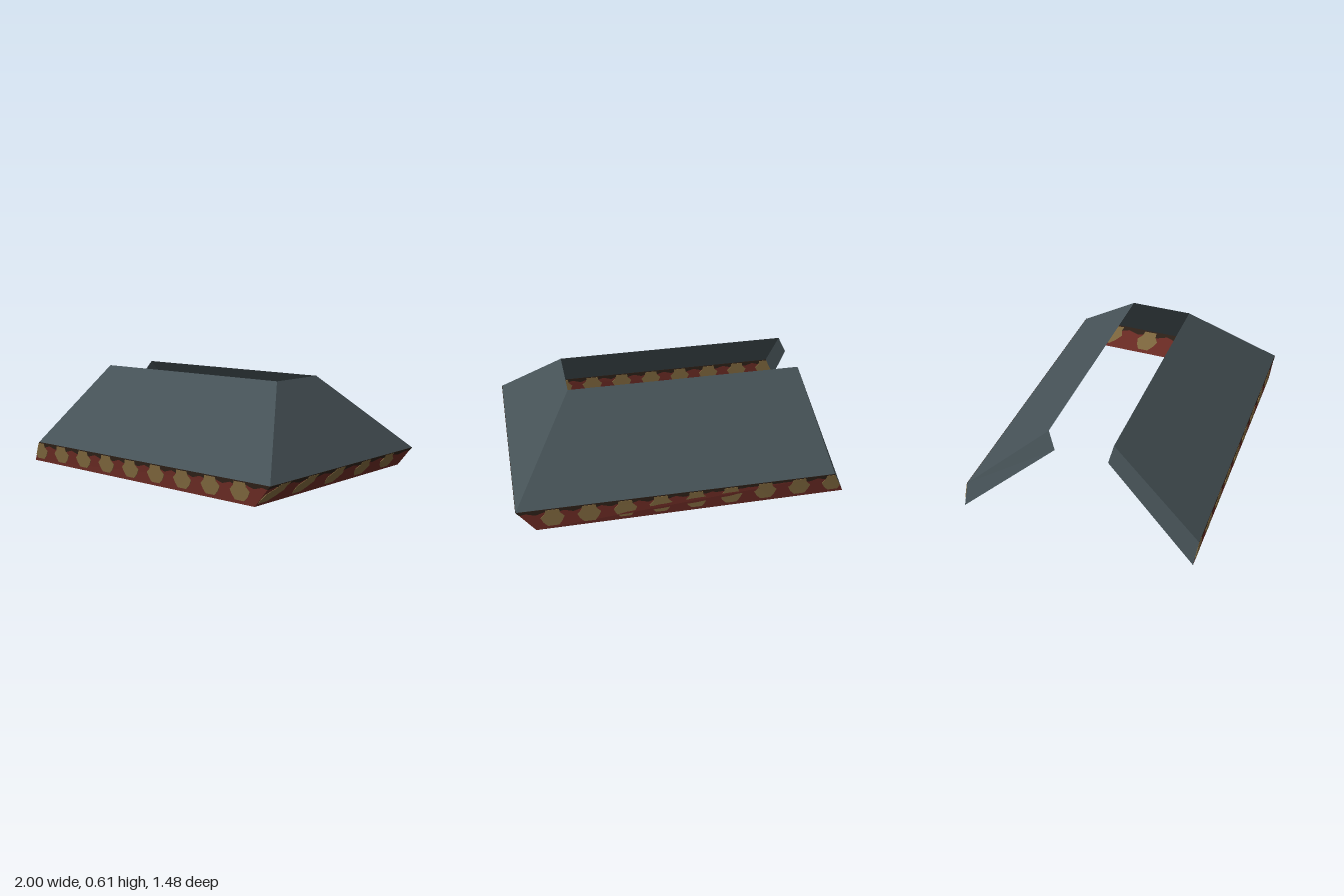
import * as THREE from 'three';

const lerp = THREE.MathUtils.lerp;
const clamp = THREE.MathUtils.clamp;
const H = 0.13; // height of the eave band

function material(name, color) {
  const m = new THREE.MeshStandardMaterial({ color, side: THREE.DoubleSide });
  m.name = name;
  return m;
}

// Flat four-cornered sheet, corners counter-clockwise from outside
function sheet(name, mat, a, b, c, d) {
  const g = new THREE.BufferGeometry();
  g.setAttribute('position', new THREE.Float32BufferAttribute([a, b, c, a, c, d].flat(), 3));
  g.computeVertexNormals();
  const mesh = new THREE.Mesh(g, mat);
  mesh.name = name;
  return mesh;
}

// Thin plate drawn as (along, height) points, centred in a leaning band and seen from both sides
function plate(name, mat, points, depth, place) {
  const shape = new THREE.Shape(points.map(([s, y]) => new THREE.Vector2(s, y)));
  const g = new THREE.ExtrudeGeometry(shape, { depth, bevelEnabled: false });
  const p = g.attributes.position;
  for (let i = 0; i < p.count; i++) {
    p.setXYZ(i, ...place(p.getX(i), p.getY(i), p.getZ(i) - depth / 2));
  }
  g.computeVertexNormals();
  const mesh = new THREE.Mesh(g, mat);
  mesh.name = name;
  return mesh;
}

const spotOutline = [
  [-0.035, 0.02], [0.03, 0.02], [0.055, 0.045], [0.07, 0.075], [0.045, 0.1],
  [0.04, 0.124], [-0.04, 0.124], [-0.045, 0.1], [-0.07, 0.075], [-0.055, 0.045],
];

// Spots and ragged shadow-coloured border of one band
function decorate(group, name, centres, from, to, width, lean, mats, place) {
  centres.forEach((c) => {
    const pts = spotOutline.map(([s, y]) => [c + s * width + lean(c) * (y - 0.07), y]);
    group.add(plate(name + 'Spot', mats.tan, pts, 0.007, place));
  });
  const border = [[from, H], [from, 0.108]];
  const n = centres.length * 4;
  for (let i = 1; i < n; i++) {
    border.push([lerp(from, to, i / n), i % 2 ? 0.114 : 0.098]);
  }
  border.push([to, 0.108], [to, H]);
  group.add(plate(name + 'Border', mats.brown, border, 0.004, place));
}

export function createModel() {
  const model = new THREE.Group();
  model.name = 'openRoof';
  const slate = material('slate', 0x465257);
  const red = material('brick red', 0x6b2b24);
  const mats = { tan: material('ochre', 0x80683e), brown: material('dark brown', 0x2e2118) };

  // Corners: eave, ridge, band foot and inner ridge tip
  const F = {
    eaveL: [-0.94, H, 0.735], eaveR: [1, H, 0.735],
    ridgeL: [-0.835, 0.605, 0.19], ridgeR: [0.615, 0.605, 0.19],
    footL: [-1, 0, 0.722], footR: [0.89, 0, 0.728], tip: [-0.88, 0.51, 0.17],
  };
  const B = {
    eaveL: [-0.94, H, -0.725], eaveR: [1, H, -0.725],
    ridgeL: [-0.835, 0.605, -0.205], ridgeR: [0.615, 0.605, -0.205],
    footL: [-1, 0, -0.725], footR: [0.89, 0, -0.743], tip: [-0.88, 0.51, -0.155],
  };

  // Three roof slopes and the two end boards
  model.add(
    sheet('frontSlope', slate, F.eaveL, F.eaveR, F.ridgeR, F.ridgeL),
    sheet('backSlope', slate, B.eaveR, B.eaveL, B.ridgeL, B.ridgeR),
    sheet('sideSlope', slate, F.eaveR, B.eaveR, B.ridgeR, F.ridgeR),
    sheet('frontEndBoard', slate, F.footL, F.eaveL, F.ridgeL, F.tip),
    sheet('backEndBoard', slate, B.eaveL, B.footL, B.tip, B.ridgeL),
  );

  // Bands under the eaves
  model.add(
    sheet('frontBand', red, F.footL, F.footR, F.eaveR, F.eaveL),
    sheet('backBand', red, B.footR, B.footL, B.eaveL, B.eaveR),
    sheet('sideBand', red, F.footR, B.footR, B.eaveR, F.eaveR),
  );

  // Long bands: nine upright spots, trimmed to the slanted ends
  const longCentres = Array.from({ length: 9 }, (_, i) => -0.93 + i * 0.215);
  for (const [name, S] of [['front', F], ['back', B]]) {
    const place = (x, y, w) => {
      const t = y / H;
      const lo = lerp(-1, -0.94, t), hi = lerp(0.89, 1, t);
      const px = clamp(x, lo, hi);
      const u = (px - lo) / (hi - lo);
      return [px, y, lerp(lerp(S.footL[2], S.footR[2], u), lerp(S.eaveL[2], S.eaveR[2], u), t) + w];
    };
    decorate(model, name, longCentres, -1, 1, 1, () => 0, mats, place);
  }

  // Side band: five broad spots leaning towards the middle
  const sidePlace = (z, y, w) => {
    const t = y / H;
    const zMin = lerp(B.footR[2], B.eaveR[2], t), zMax = lerp(F.footR[2], F.eaveR[2], t);
    return [lerp(0.89, 1, t) + w, y, clamp(z, zMin, zMax)];
  };
  decorate(model, 'side', [0.64, 0.36, 0.07, -0.22, -0.5], -0.74, 0.74, 1.1,
    (c) => -1.5 * c, mats, sidePlace);

  return model;
}
